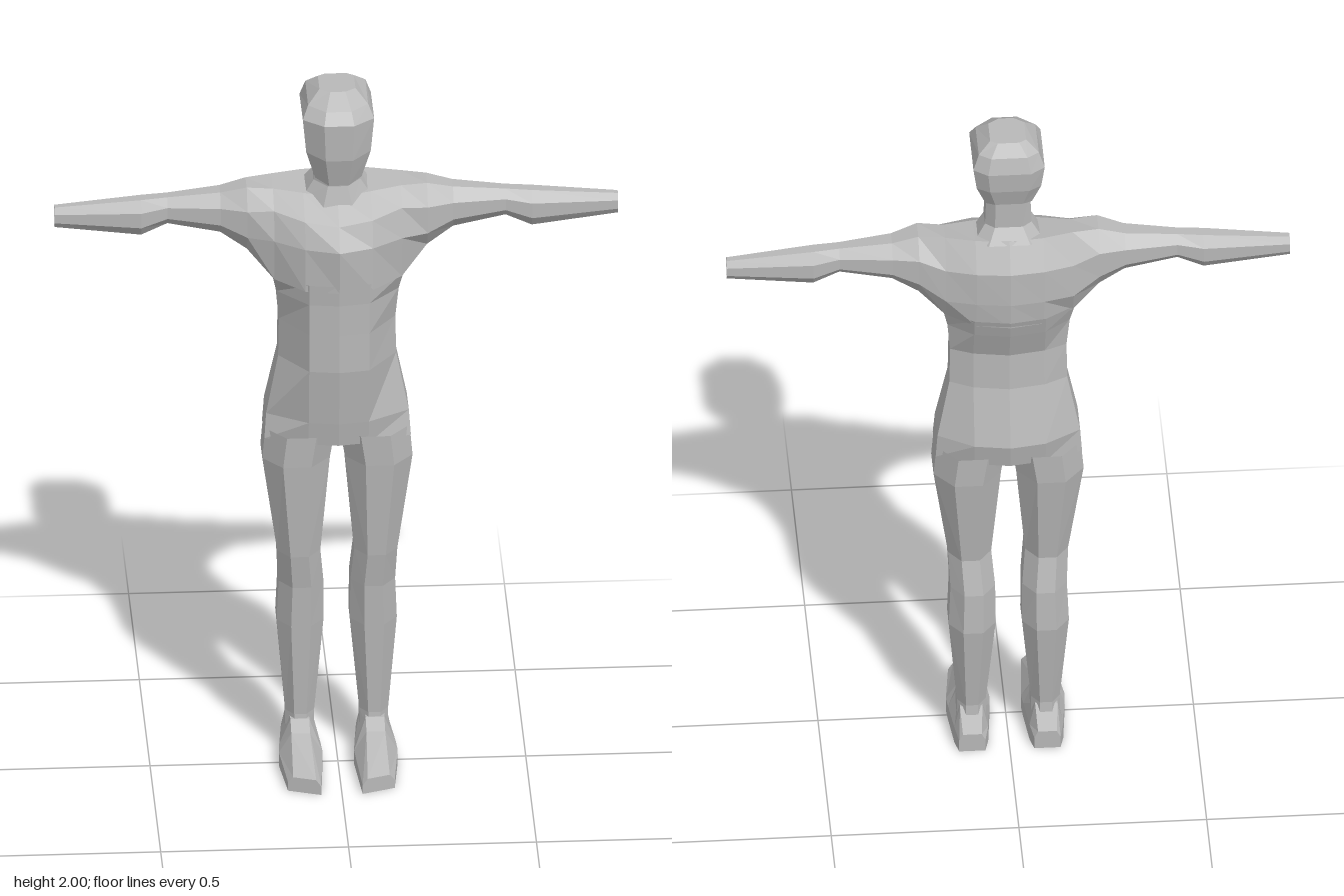
import * as THREE from 'three';

const skin = new THREE.MeshStandardMaterial({ color: 0xb8b8b8, flatShading: true, side: THREE.DoubleSide });
skin.name = 'grey skin';

// Skin a list of equal-length rings of [x, y, z] points; faces are turned outward.
function loft(name, rings, capStart = false, capEnd = false) {
  const tris = [];
  const n = rings[0].length;
  for (let r = 0; r < rings.length - 1; r++) {
    for (let i = 0; i < n; i++) {
      const j = (i + 1) % n;
      const a = rings[r][i], b = rings[r][j], c = rings[r + 1][j], d = rings[r + 1][i];
      tris.push([a, b, c], [a, c, d]);
    }
  }
  const cap = (ring, flip) => {
    const mid = [0, 1, 2].map(k => ring.reduce((s, p) => s + p[k], 0) / n);
    ring.forEach((p, i) => {
      const q = ring[(i + 1) % n];
      tris.push(flip ? [mid, q, p] : [mid, p, q]);
    });
  };
  if (capStart) cap(rings[0], true);
  if (capEnd) cap(rings[rings.length - 1], false);

  // Signed volume about the middle tells which way the faces point
  const all = rings.flat();
  const centre = new THREE.Vector3();
  all.forEach(p => centre.add(new THREE.Vector3(...p)));
  centre.divideScalar(all.length);
  let volume = 0;
  for (const t of tris) {
    const [a, b, c] = t.map(p => new THREE.Vector3(...p).sub(centre));
    volume += a.dot(b.cross(c));
  }
  if (volume < 0) tris.forEach(t => t.reverse());

  const geometry = new THREE.BufferGeometry();
  geometry.setAttribute('position', new THREE.Float32BufferAttribute(tris.flat(2), 3));
  geometry.computeVertexNormals();
  const mesh = new THREE.Mesh(geometry, skin);
  mesh.name = name;
  return mesh;
}

const mirrorRing = ring => ring.map(([x, y, z]) => [-x, y, z]);

// Octagon fitted in a box, as [u, v] pairs starting at the top on the +u side
function octagon(u0, u1, v0, v1) {
  const k = 0.42;
  return [[k, 1], [1, k], [1, -k], [k, -1], [-k, -1], [-1, -k], [-1, k], [-k, 1]]
    .map(([u, v]) => [(u0 + u1) / 2 + u * (u1 - u0) / 2, (v0 + v1) / 2 + v * (v1 - v0) / 2]);
}

export function createModel() {
  const model = new THREE.Group();
  model.name = 'figure';

  // Chest and both arms: one tube along x, open at the wrists; profiles are [z, y]
  const centreRing = [[-0.01, 1.68], [0.06, 1.625], [0.098, 1.565], [0.086, 1.44],
    [-0.19, 1.44], [-0.197, 1.52], [-0.195, 1.62], [-0.15, 1.70]];
  const half = [
    [0.09, [[-0.03, 1.685], [0.045, 1.635], [0.07, 1.565], [0.068, 1.44],
      [-0.175, 1.44], [-0.185, 1.52], [-0.185, 1.62], [-0.14, 1.70]]],
    [0.17, [[-0.05, 1.69], [0.005, 1.65], [0.025, 1.57], [0.01, 1.45],
      [-0.13, 1.45], [-0.165, 1.52], [-0.163, 1.62], [-0.12, 1.70]]],
    [0.24, octagon(-0.148, -0.005, 1.515, 1.697)],
    [0.31, octagon(-0.135, -0.03, 1.56, 1.677)],
    [0.45, octagon(-0.118, -0.05, 1.585, 1.662)],
    [0.52, octagon(-0.122, -0.047, 1.553, 1.656)],
    [0.75, octagon(-0.108, -0.068, 1.577, 1.635)],
  ].map(([x, profile]) => profile.map(([z, y]) => [x, y, z]));
  model.add(loft('chestAndArms', [
    ...half.map(mirrorRing).reverse(), centreRing.map(([z, y]) => [0, y, z]), ...half,
  ]));

  // Torso: y, half width, front z, back z, side front z, side back z
  const torso = [
    [0.965, 0.195, 0.045, -0.175, -0.01, -0.12],
    [1.035, 0.19, 0.057, -0.19, -0.02, -0.12],
    [1.20, 0.157, 0.08, -0.145, -0.035, -0.10],
    [1.31, 0.155, 0.08, -0.14, -0.035, -0.10],
    [1.40, 0.163, 0.081, -0.175, -0.02, -0.11],
    [1.46, 0.175, 0.086, -0.196, 0.005, -0.13],
  ].map(([y, w, f, b, sf, sb]) => [
    [0, y, f], [0.08, y, f - 0.012], [w, y, sf], [w, y, sb], [0.095, y, b + 0.015],
    [0, y, b], [-0.095, y, b + 0.015], [-w, y, sb], [-w, y, sf], [-0.08, y, f - 0.012],
  ]);
  model.add(loft('torso', torso, true));

  // Neck and head: half width, front y, back y, front z, back z, side front z, side back z
  const skullRing = ([w, yf, yb, f, b, sf, sb]) => {
    const at = (x, z) => [x, yb + (yf - yb) * (z - b) / (f - b), z];
    const right = [[w * 0.42, f], [w, sf], [w, sb], [w * 0.6, b]];
    return [...right.map(([x, z]) => at(x, z)), ...right.reverse().map(([x, z]) => at(-x, z))];
  };
  model.add(loft('neck', [
    [0.092, 1.66, 1.69, 0.01, -0.155, -0.04, -0.12],
    [0.062, 1.715, 1.73, -0.005, -0.125, -0.04, -0.10],
    [0.058, 1.80, 1.84, -0.005, -0.125, -0.04, -0.10],
  ].map(skullRing)));
  model.add(loft('head', [
    [0.062, 1.745, 1.815, 0.05, -0.135, 0.02, -0.115],
    [0.086, 1.83, 1.87, 0.073, -0.152, 0.03, -0.125],
    [0.095, 1.935, 1.93, 0.076, -0.157, 0.03, -0.13],
    [0.08, 1.965, 1.975, 0.05, -0.143, 0.01, -0.12],
    [0.048, 2.0, 2.0, 0.0, -0.108, -0.02, -0.095],
  ].map(skullRing), true, true));

  // Legs: y, inner x, outer x, back z, front z
  const leg = [
    [0.99, 0.005, 0.192, -0.175, 0.045],
    [0.90, 0.02, 0.2, -0.172, 0.04],
    [0.62, 0.045, 0.16, -0.135, 0.016],
    [0.52, 0.036, 0.155, -0.16, 0.0],
    [0.40, 0.035, 0.16, -0.167, -0.008],
    [0.13, 0.06, 0.137, -0.13, -0.025],
    [0.07, 0.06, 0.137, -0.135, -0.02],
  ].map(([y, xi, xo, zb, zf]) => octagon(xi, xo, zb, zf).map(([x, z]) => [x, y, z]));

  // Feet: z, inner x, outer x, side height, top height, top half width, toe slant
  const foot = [
    [-0.16, 0.065, 0.135, 0.035, 0.055, 0.025, 0],
    [-0.12, 0.055, 0.145, 0.05, 0.12, 0.03, 0],
    [-0.02, 0.045, 0.155, 0.045, 0.118, 0.025, 0],
    [0.02, 0.042, 0.158, 0.04, 0.095, 0.025, 0],
    [0.18, 0.055, 0.142, 0.025, 0.042, 0.03, 0.35],
  ].map(([z, xi, xo, side, top, tw, slant]) => {
    const xc = (xi + xo) / 2;
    return [[xi, 0], [xo, 0], [xo, side], [xc + tw, top], [xc - tw, top], [xi, side]]
      .map(([x, y]) => [x, y, z - (x - xc) * slant]);
  });

  for (const [side, place] of [['left', r => r], ['right', mirrorRing]]) {
    model.add(loft(side + 'Leg', leg.map(place)));
    model.add(loft(side + 'Foot', foot.map(place), true, true));
  }
  return model;
}
